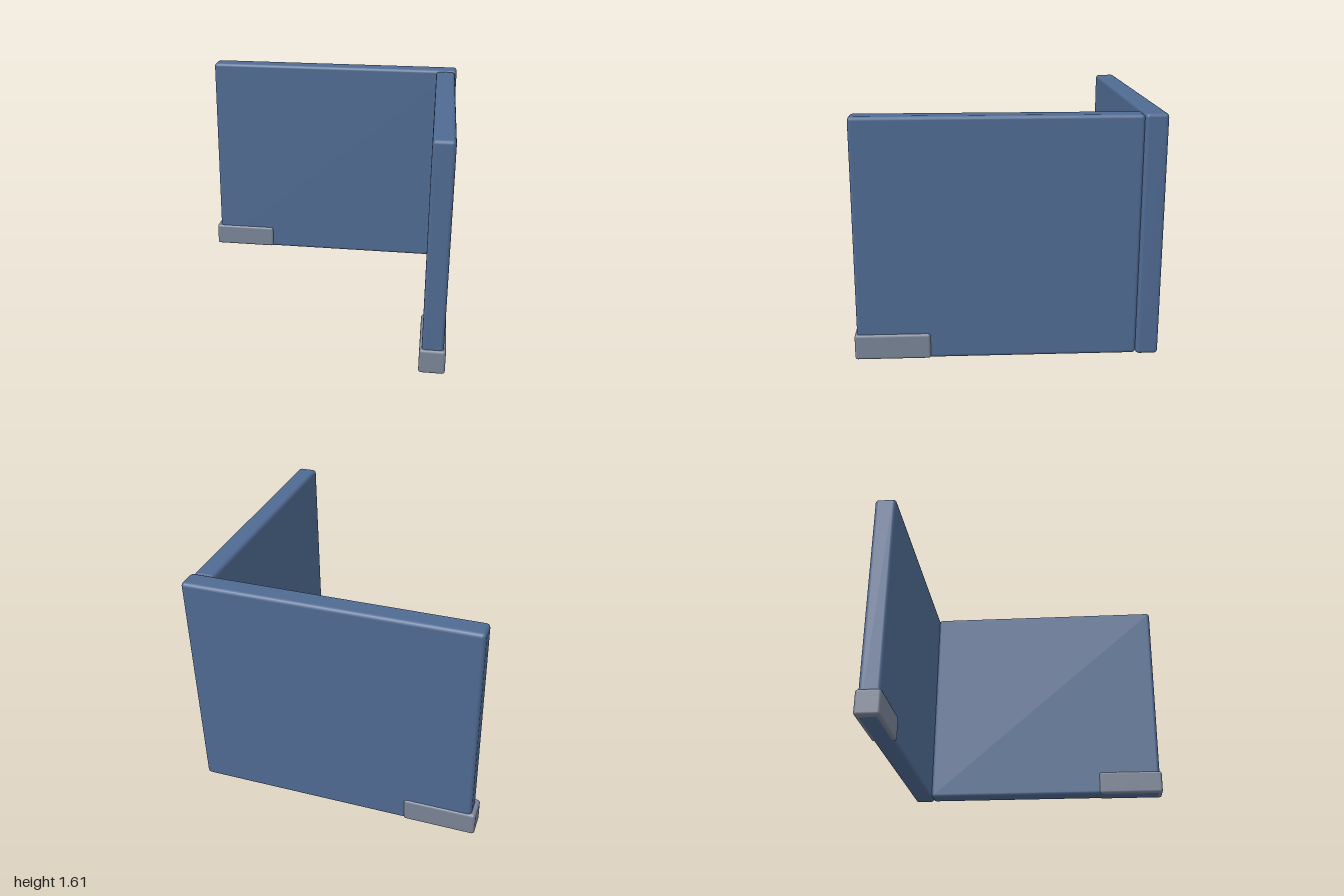
import * as THREE from 'three';
import { RoundedBoxGeometry } from 'three/addons/geometries/RoundedBoxGeometry.js';

export function createModel() {
  const group = new THREE.Group();
  const panelBlue = new THREE.MeshStandardMaterial({ color: 0x4f6a92 });
  panelBlue.name = 'panelBlue';
  const footGrey = new THREE.MeshStandardMaterial({ color: 0x7a8496 });
  footGrey.name = 'footGrey';

  // Box with softly bevelled edges, given by its extents on each axis
  function softBox(name, material, [x0, x1], [y0, y1], [z0, z1], bevel) {
    const geometry = new RoundedBoxGeometry(x1 - x0, y1 - y0, z1 - z0, 2, bevel);
    const mesh = new THREE.Mesh(geometry, material);
    mesh.name = name;
    mesh.position.set((x0 + x1) / 2, (y0 + y1) / 2, (z0 + z1) / 2);
    group.add(mesh);
  }

  // Two upright partition panels meeting in an L
  softBox('backPanel', panelBlue, [-0.97, 0.99], [0, 1.607], [-0.99, -0.842], 0.025);
  softBox('sidePanel', panelBlue, [0.832, 0.976], [0, 1.6], [-0.845, 0.985], 0.025);

  // Feet wrapping the free ends, a hair above the floor so the panel base stays visible
  softBox('backPanelFoot', footGrey, [-1, -0.505], [0.002, 0.174], [-1, -0.83], 0.018);
  softBox('sidePanelFoot', footGrey, [0.816, 0.99], [0.002, 0.174], [0.507, 1], 0.018);

  return group;
}
